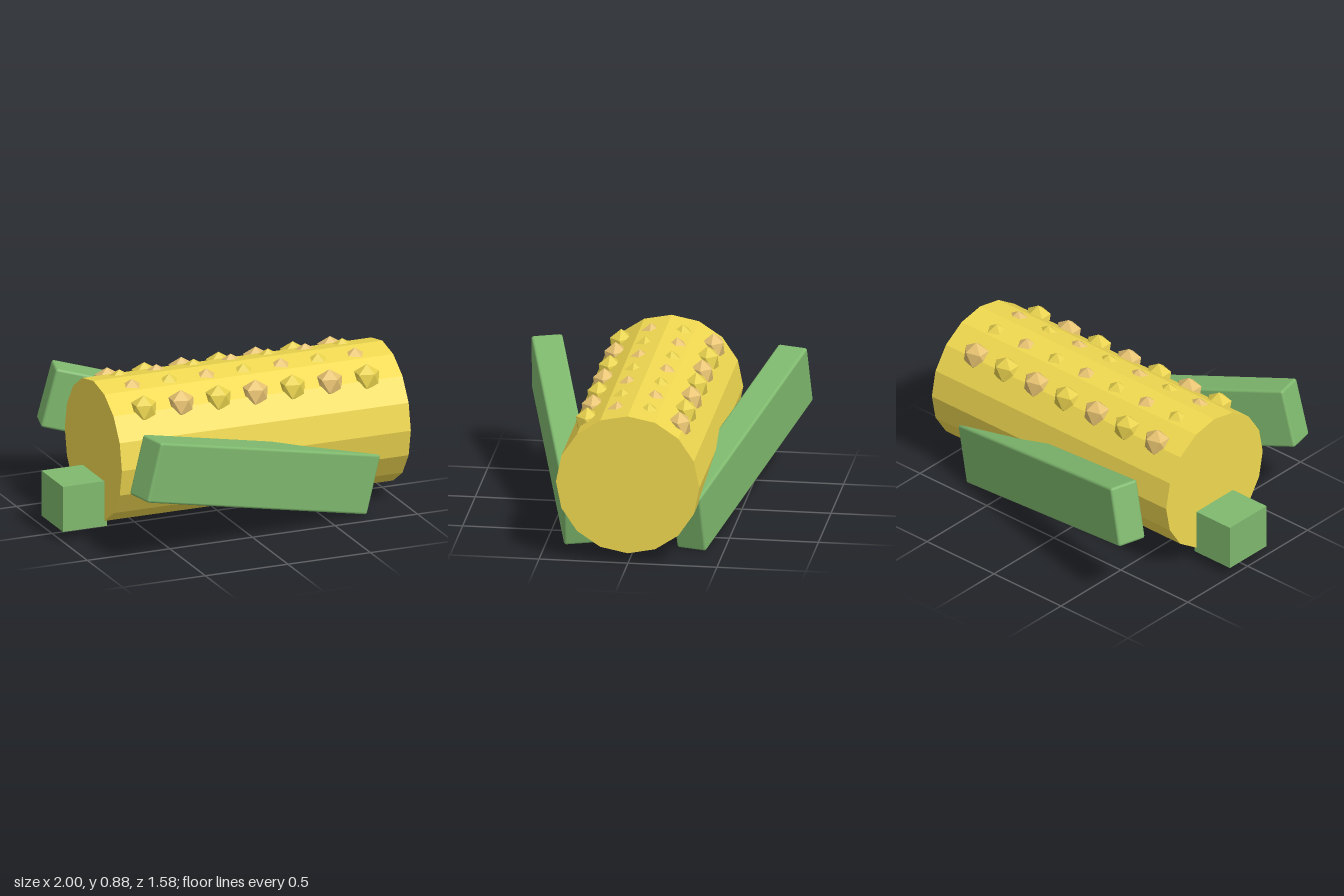
import * as THREE from 'three';
import { RoundedBoxGeometry } from 'three/addons/geometries/RoundedBoxGeometry.js';

const paint = (color, flatShading = true) => new THREE.MeshStandardMaterial({ color, flatShading });

export function createModel() {
  const group = new THREE.Group();
  const cobYellow = paint(0xf0d850);
  const kernelColors = [paint(0xe6d04c), paint(0xe6c270)];
  const leafGreen = paint(0x7fb96e);
  const huskGreen = paint(0x7fb96e, false);

  const add = (name, geometry, material, x, y, z, parent = group) => {
    const mesh = new THREE.Mesh(geometry, material);
    mesh.name = name;
    mesh.position.set(x, y, z);
    parent.add(mesh);
    return mesh;
  };

  // Cob: a 16-sided drum lying along x
  const cob = new THREE.CylinderGeometry(0.403, 0.403, 1.75, 16).rotateZ(Math.PI / 2);
  add('cob', cob, cobYellow, 0.125, 0.463, 0.002);

  // Stem at the rear end
  add('stem', new THREE.BoxGeometry(0.265, 0.265, 0.305), leafGreen, -0.8675, 0.1925, 0.004);

  // Kernels: point-up icosahedra in four rows, two colours in a checker pattern
  const kernel = new THREE.IcosahedronGeometry(1, 0)
    .rotateZ(-Math.atan(2 / (1 + Math.sqrt(5))))
    .scale(0.084, 0.085, 0.07);
  const kernels = new THREE.Group();
  kernels.name = 'kernels';
  group.add(kernels);
  const rows = [[0.752, 0.258], [0.795, 0.09], [0.795, -0.088], [0.752, -0.26]];
  rows.forEach(([y, z], row) => {
    for (let i = 0; i < 7; i++) {
      add('kernel', kernel, kernelColors[(row + i) % 2], -0.555 + i * 0.225, y, z, kernels);
    }
  });

  // Husk leaves: softly bevelled slabs, splayed outward and lifted towards the stem
  const husk = new RoundedBoxGeometry(1.6, 0.35, 0.175, 2, 0.015);
  for (const [name, side, roll] of [['leftHusk', 1, 0.04], ['rightHusk', -1, 0]]) {
    const leaf = add(name, husk, huskGreen, 0.015, 0.37, side * 0.503);
    leaf.rotation.set(roll, side * 0.257, -0.252, 'YZX');
  }

  return group;
}
